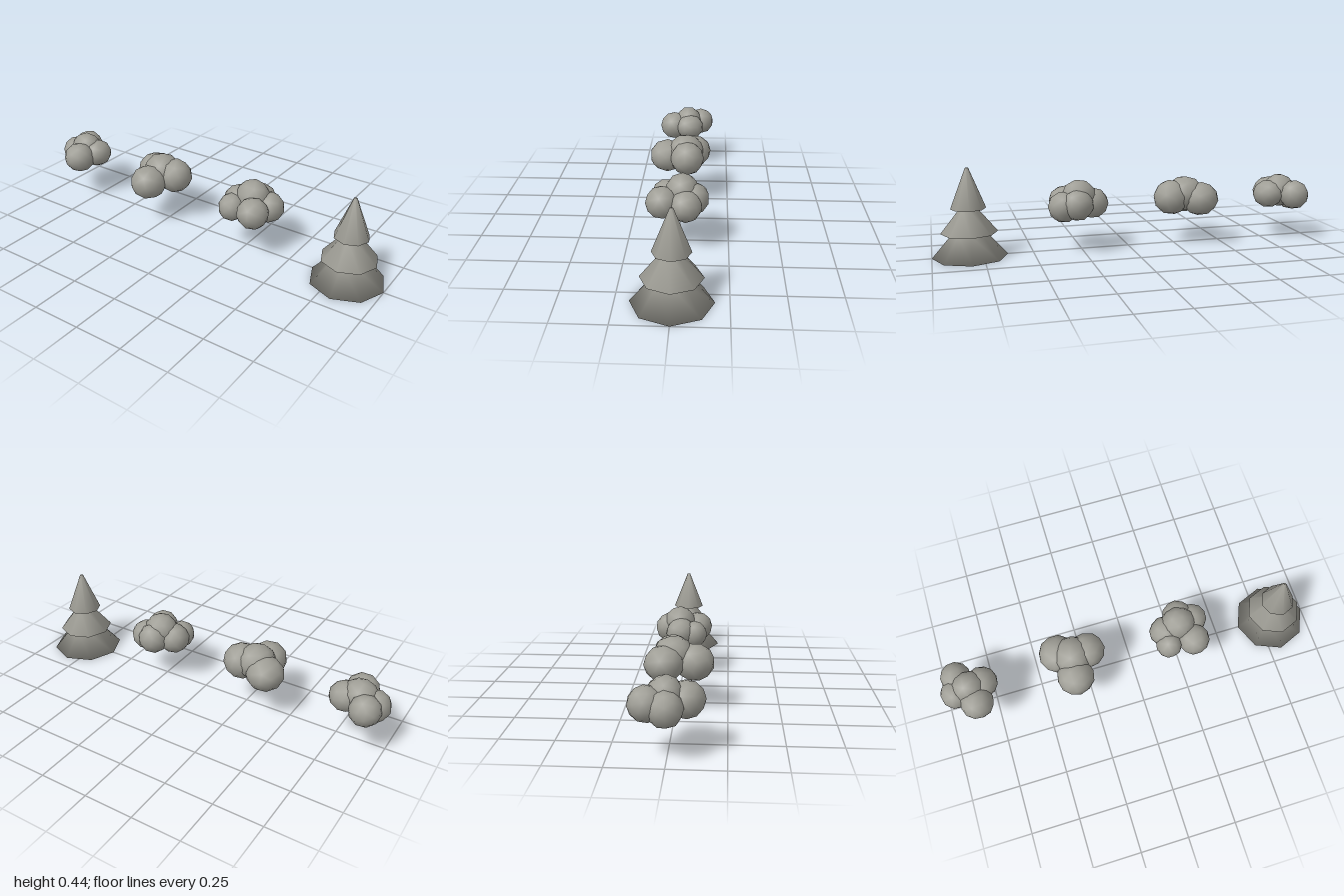
import * as THREE from 'three';

const grey = new THREE.MeshStandardMaterial({ color: 0x9f9e96 });
grey.name = 'stoneGrey';

// Each cloud is a cluster of low-poly puffs: [x, y, z, radiusX, radiusY, radiusZ, turn]
const clouds = {
  leftmostCloud: [
    [-0.905, 0.24, -0.085, 0.078, 0.078, 0.078, 0.3],
    [-0.925, 0.225, -0.005, 0.077, 0.08, 0.078, 1.1],
    [-0.785, 0.24, -0.02, 0.083, 0.075, 0.082, 0.6],
    [-0.83, 0.235, 0.075, 0.085, 0.082, 0.085, 0.1],
    [-0.85, 0.255, -0.01, 0.09, 0.09, 0.08, 1.5],
  ],
  middleCloud: [
    [-0.375, 0.24, -0.055, 0.098, 0.088, 0.098, 0.2],
    [-0.228, 0.25, -0.025, 0.095, 0.092, 0.092, 0.9],
    [-0.318, 0.232, 0.088, 0.097, 0.09, 0.097, 0.5],
    [-0.305, 0.265, -0.015, 0.1, 0.092, 0.1, 1.3],
  ],
  rightCloud: [
    [0.28, 0.245, -0.075, 0.08, 0.08, 0.078, 0.4],
    [0.195, 0.24, -0.01, 0.085, 0.08, 0.08, 1.2],
    [0.345, 0.232, -0.04, 0.082, 0.08, 0.08, 0.7],
    [0.322, 0.24, 0.075, 0.082, 0.08, 0.082, 0.2],
    [0.192, 0.23, 0.062, 0.068, 0.072, 0.07, 1.6],
    [0.265, 0.275, -0.02, 0.09, 0.09, 0.085, 0.9],
  ],
};

function buildCloud(name, puffs) {
  const cloud = new THREE.Group();
  cloud.name = name;
  for (const [x, y, z, rx, ry, rz, turn] of puffs) {
    // Turn the puff before stretching it, so its corners vary
    const geometry = new THREE.IcosahedronGeometry(1, 1);
    geometry.rotateY(turn);
    geometry.rotateZ(turn * 0.5);
    geometry.scale(rx, ry, rz);
    const puff = new THREE.Mesh(geometry, grey);
    puff.name = 'cloudPuff';
    puff.position.set(x, y, z);
    cloud.add(puff);
  }
  return cloud;
}

// Three stacked skirts in one eight-sided, smooth-shaded profile
function buildTree() {
  const profile = [
    [0, 0], [0.186, 0], [0.08, 0.122], [0.14, 0.122],
    [0.043, 0.243], [0.087, 0.243], [0.008, 0.445], [0, 0.445],
  ].map(([r, y]) => new THREE.Vector2(r, y));
  const tree = new THREE.Mesh(new THREE.LatheGeometry(profile, 8), grey);
  tree.name = 'tree';
  tree.position.x = 0.814;
  return tree;
}

export function createModel() {
  const model = new THREE.Group();
  model.name = 'cloudsAndTree';
  for (const [name, puffs] of Object.entries(clouds)) model.add(buildCloud(name, puffs));
  model.add(buildTree());
  return model;
}
